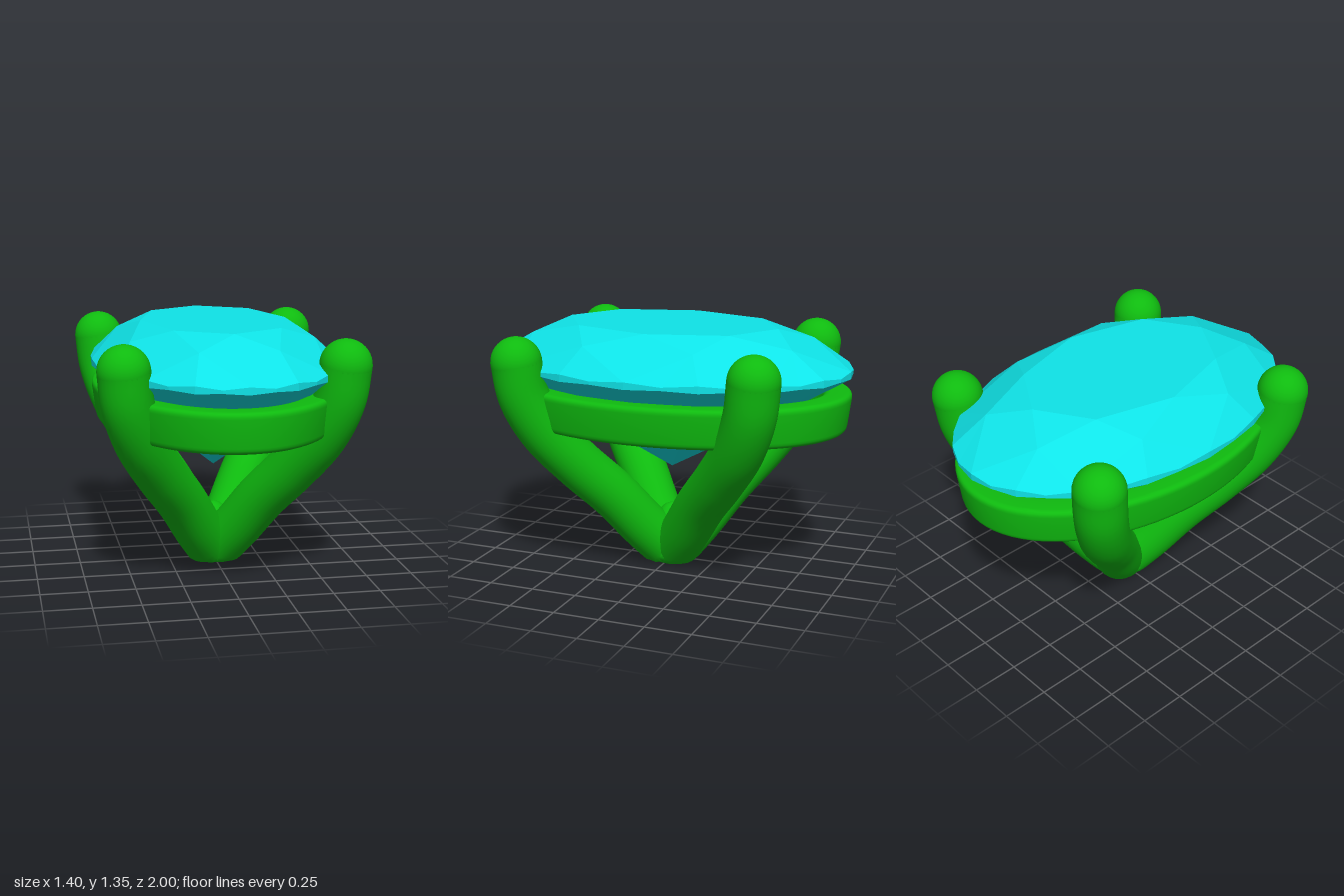
import * as THREE from 'three';
import { toCreasedNormals } from 'three/addons/utils/BufferGeometryUtils.js';

const WIDTH = 0.665; // oval half-width; half-length is 1
const PRONG_R = 0.136;

// Oval brilliant-cut stone; angles are counted in 32nds of a turn
function gemGeometry() {
  const verts = [];
  const tri = (...pts) => pts.forEach((p) => verts.push(...p));
  const at = (k, r, y) => {
    const a = (k / 32) * Math.PI * 2;
    return [WIDTH * r * Math.sin(a), y, r * Math.cos(a)];
  };
  const table = (k) => at(k, 0.6, 1.345);
  const star = (k) => at(k, 0.8, 1.276);
  const upper = (k) => at(k, 1, k % 2 ? 1.132 : 1.146);
  const lower = (k) => at(k, 1, k % 2 ? 1.115 : 1.107);
  const pavilion = (k) => at(k, 0.25, 0.667);
  const top = [0, 1.345, 0];
  const culet = [0, 0.535, 0];

  for (let k = 0; k < 32; k += 4) {
    const t = table(k), s = star(k + 2), l = pavilion(k + 2);
    tri(top, t, table(k + 4));
    tri(t, s, table(k + 4));
    tri(t, star(k - 2), upper(k));
    tri(t, upper(k), s);
    tri(culet, l, lower(k));
    tri(culet, lower(k), pavilion(k - 2));
    for (let i = k; i < k + 4; i++) {
      tri(s, upper(i), upper(i + 1));
      tri(lower(i), lower(i + 1), upper(i + 1));
      tri(lower(i), upper(i + 1), upper(i));
      tri(l, lower(i + 1), lower(i));
    }
  }
  const g = new THREE.BufferGeometry();
  g.setAttribute('position', new THREE.Float32BufferAttribute(verts, 3));
  g.computeVertexNormals();
  return g;
}

// Oval band: rounded section revolved, then narrowed in x at constant thickness
function bandGeometry() {
  const corners = [[0.972, 0.805], [1, 1.02], [0.85, 1.02], [0.79, 0.805]]
    .map(([x, y]) => new THREE.Vector2(x, y));
  const section = new THREE.Path();
  corners.forEach((c, i) => {
    const prev = corners[(i + 3) % 4], next = corners[(i + 1) % 4];
    const toward = (p) => p.clone().sub(c).setLength(0.035).add(c);
    const a = toward(prev), b = toward(next);
    if (i === 0) section.moveTo(a.x, a.y);
    else section.lineTo(a.x, a.y);
    section.quadraticCurveTo(c.x, c.y, b.x, b.y);
  });
  section.closePath();
  const g = new THREE.LatheGeometry(section.getPoints(5), 80);
  const p = g.attributes.position;
  for (let i = 0; i < p.count; i++) {
    const x = p.getX(i), z = p.getZ(i), r = Math.hypot(x, z);
    p.setX(i, (x * (r - 1 + WIDTH)) / r);
  }
  return toCreasedNormals(g, 0.9);
}

// Curved claw, trimmed flat where it meets the base plane
function prongGeometry(path) {
  const g = new THREE.TubeGeometry(path, 48, PRONG_R, 28, false);
  const p = g.attributes.position;
  for (let i = 0; i < p.count; i++) p.setY(i, Math.max(0.003, p.getY(i)));
  return toCreasedNormals(g, 0.7);
}

export function createModel() {
  const model = new THREE.Group();
  const green = new THREE.MeshStandardMaterial({ color: 0x0fbb0f });
  const cyan = new THREE.MeshStandardMaterial({ color: 0x0fe4e8, flatShading: true });
  const add = (name, geometry, material, parent = model) => {
    const mesh = new THREE.Mesh(geometry, material);
    mesh.name = name;
    parent.add(mesh);
    return mesh;
  };

  add('gemstone', gemGeometry(), cyan);
  add('supportBand', bandGeometry(), green);

  // Four claws with round tips, as distance from the axis and height
  const profile = [[0, 0.04], [0.16, 0.2], [0.337, 0.4], [0.545, 0.6],
    [0.725, 0.8], [0.832, 1.0], [0.865, 1.18]];
  for (const sx of [1, -1]) for (const sz of [1, -1]) {
    const prong = new THREE.Group();
    prong.name = (sz > 0 ? 'front' : 'back') + (sx > 0 ? 'Left' : 'Right') + 'Prong';
    const path = new THREE.CatmullRomCurve3(profile.map(([r, y]) =>
      new THREE.Vector3(sx * r * 0.653, y, sz * r * 0.757)));
    add('prongShaft', prongGeometry(path), green, prong);
    add('prongTip', new THREE.SphereGeometry(PRONG_R, 32, 20), green, prong)
      .position.copy(path.getPoint(1));
    model.add(prong);
  }

  // Blended hub where the claws join
  const hub = new THREE.SplineCurve([[0.1, 0], [0.14, 0.015], [0.163, 0.06],
    [0.15, 0.14], [0.1, 0.24], [0.045, 0.305], [0, 0.32]]
    .map(([r, y]) => new THREE.Vector2(r, y)));
  add('baseHub', new THREE.LatheGeometry(
    [new THREE.Vector2(0, 0), ...hub.getPoints(24)], 40), green);

  return model;
}
